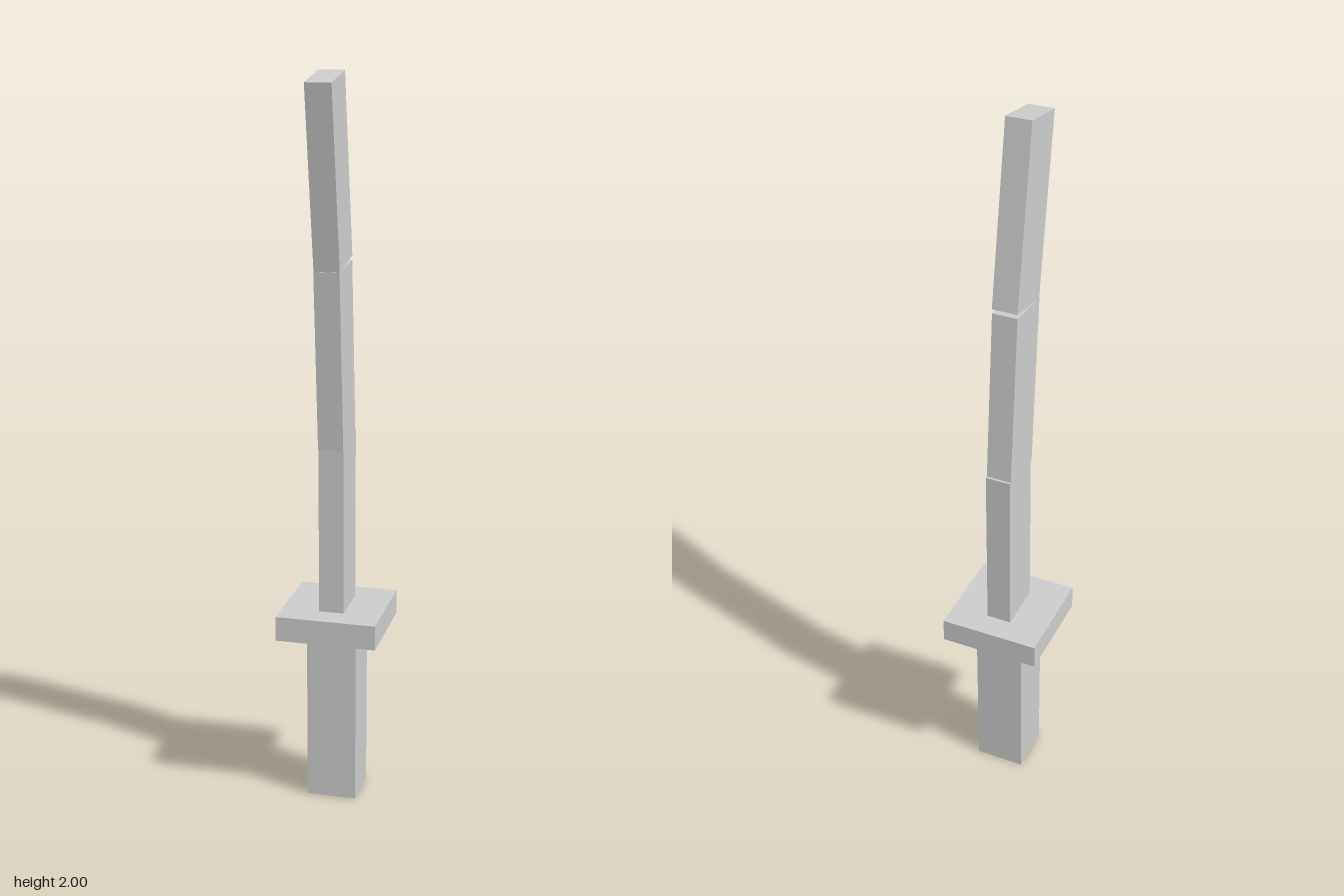
import * as THREE from 'three';

export function createModel() {
  const group = new THREE.Group();
  const material = new THREE.MeshStandardMaterial({ color: 0xcccccc, flatShading: true });

  // Box centred on x = 0, leaning towards the front by a number of degrees
  function addBox(name, [w, h, d], y, z, lean = 0) {
    const mesh = new THREE.Mesh(new THREE.BoxGeometry(w, h, d), material);
    mesh.name = name;
    mesh.position.set(0, y, z);
    mesh.rotation.x = THREE.MathUtils.degToRad(lean);
    group.add(mesh);
  }

  // Grip and square guard
  addBox('handle', [0.138, 0.488, 0.138], 0.244, -0.031);
  addBox('guard', [0.277, 0.069, 0.277], 0.5225, -0.031);

  // Blade in three straight segments, each leaning further forward
  addBox('bladeLower', [0.069, 0.485, 0.138], 0.797, -0.031);
  addBox('bladeMiddle', [0.069, 0.485, 0.138], 1.266, -0.0045, 5);
  addBox('bladeUpper', [0.069, 0.482, 0.138], 1.751, 0.057, 10);

  return group;
}
